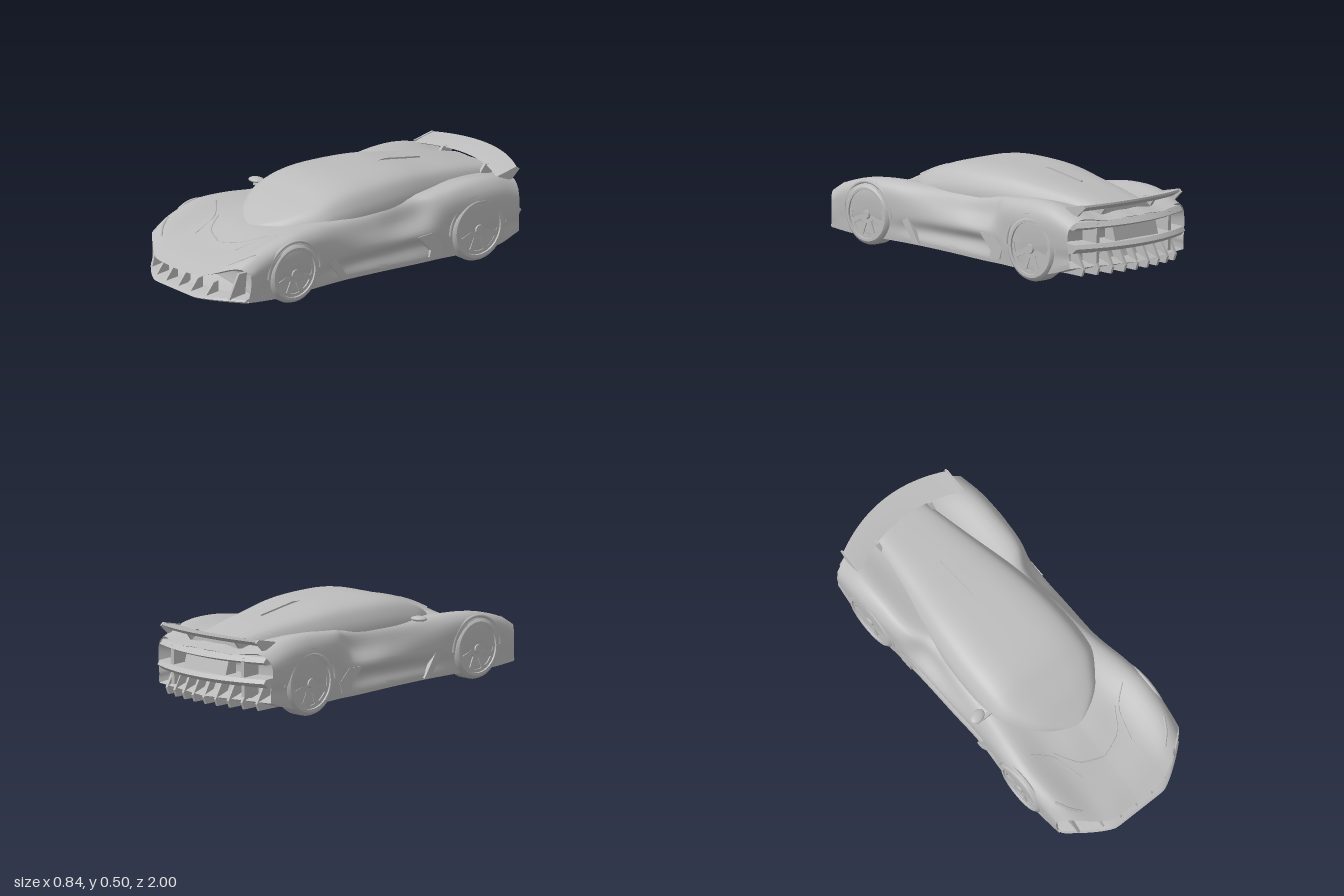
import * as THREE from 'three';
import { toCreasedNormals } from 'three/addons/utils/BufferGeometryUtils.js';

const paint = new THREE.MeshStandardMaterial({ color: 0xbcbcbc });
paint.name = 'grey';

// z, floor y, recess w, crease w, shoulder y, shoulder w, fender x, fender y, valley y, centre y
const BODY = [
  [0.99, 0.09, 0.398, 0.400, 0.240, 0.395, 0.350, 0.265, 0.215, 0.200],
  [0.90, 0.085, 0.400, 0.405, 0.280, 0.400, 0.355, 0.308, 0.248, 0.235],
  [0.75, 0.08, 0.405, 0.412, 0.320, 0.408, 0.360, 0.348, 0.292, 0.275],
  [0.55, 0.08, 0.405, 0.415, 0.340, 0.412, 0.365, 0.378, 0.338, 0.330],
  [0.40, 0.08, 0.400, 0.408, 0.335, 0.400, 0.350, 0.380, 0.356, 0.345],
  [0.22, 0.075, 0.372, 0.392, 0.310, 0.375, 0.330, 0.367, 0.360, 0.360],
  [0.00, 0.07, 0.368, 0.394, 0.290, 0.360, 0.315, 0.362, 0.360, 0.360],
  [-0.28, 0.06, 0.372, 0.396, 0.290, 0.345, 0.305, 0.372, 0.370, 0.370],
  [-0.38, 0.06, 0.398, 0.402, 0.335, 0.390, 0.350, 0.390, 0.375, 0.370],
  [-0.60, 0.055, 0.410, 0.416, 0.350, 0.412, 0.360, 0.411, 0.385, 0.380],
  [-0.80, 0.06, 0.408, 0.417, 0.345, 0.410, 0.350, 0.396, 0.365, 0.370],
  [-0.97, 0.10, 0.398, 0.408, 0.300, 0.400, 0.340, 0.345, 0.330, 0.335],
];
// z, half width, roof y
const CABIN = [
  [0.53, 0.03, 0.330], [0.45, 0.17, 0.370], [0.38, 0.235, 0.405], [0.28, 0.300, 0.445],
  [0.19, 0.315, 0.478], [0.08, 0.320, 0.498], [-0.10, 0.312, 0.502], [-0.30, 0.285, 0.492],
  [-0.50, 0.245, 0.460], [-0.70, 0.205, 0.425], [-0.88, 0.170, 0.385],
];

const sampler = (rows) => {
  const f = new THREE.CubicInterpolant(rows.map((r) => -r[0]), rows.flatMap((r) => r.slice(1)), rows[0].length - 1);
  return (z) => Array.from(f.evaluate(-z));
};
const bodyAt = sampler(BODY), cabinAt = sampler(CABIN);

// Plan curvature of nose and tail
const noseDrop = (x) => 0.17 * Math.pow(Math.max(0, Math.abs(x) - 0.15) / 0.25, 1.3);
const tailDrop = (x) => 0.09 * (x / 0.4) ** 2;
const warp = (x, z) => z > 0.5 ? z - noseDrop(x) * (z - 0.5) * 2
  : z < -0.6 ? z + tailDrop(x) * (-0.6 - z) / 0.37 : z;

function smooth(points, n) {
  return new THREE.CatmullRomCurve3(points.map(([x, y]) => new THREE.Vector3(x, y, 0)), false, 'centripetal').getPoints(n);
}
function bodySection(z) {
  const [b, wr, wc, ys, ws, fx, fy, vy, cy] = bodyAt(z);
  return [new THREE.Vector3(0, b, 0), ...smooth([
    [wc * 0.975, b], [wc * 0.98, b + 0.025], [wr, 0.15], [wc, 0.21], [ws, ys],
    [fx, fy], [fx * 0.57, vy], [0.07, cy + 0.003], [0, cy]], 36)];
}
function cabinSection(z) {
  const [w, top] = cabinAt(z), base = 0.31, h = top - base;
  return [new THREE.Vector3(0, base, 0), ...smooth(
    [[w, base], [w, base + h * 0.3], [w * 0.95, base + h * 0.55], [w * 0.82, base + h * 0.83],
      [w * 0.58, base + h * 0.965], [0, top]], 20)];
}

// Skins mirrored half sections, listed from front to back
function loft(halves) {
  const rings = halves.map((h) => [...h, ...h.slice(1, -1).reverse().map((p) => new THREE.Vector3(-p.x, p.y, p.z))]);
  const n = rings[0].length, pos = [], idx = [];
  rings.forEach((r) => r.forEach((p) => pos.push(p.x, p.y, p.z)));
  for (let i = 0; i < rings.length - 1; i++) for (let j = 0; j < n; j++) {
    const a = i * n + j, b = i * n + (j + 1) % n;
    idx.push(a, a + n, b, b, a + n, b + n);
  }
  [0, rings.length - 1].forEach((i) => {
    const c = rings[i].reduce((s, p) => s.add(p), new THREE.Vector3()).divideScalar(n), k = pos.length / 3;
    pos.push(c.x, c.y, c.z);
    for (let j = 0; j < n; j++) {
      const a = i * n + j, b = i * n + (j + 1) % n;
      idx.push(k, ...(i ? [b, a] : [a, b]));
    }
  });
  const g = new THREE.BufferGeometry();
  g.setAttribute('position', new THREE.Float32BufferAttribute(pos, 3));
  g.setIndex(idx);
  return toCreasedNormals(g, 0.6);
}

// Outline in (z, y), extruded across x and centred on x = 0
function slab(outline, width, steps = 1) {
  const g = new THREE.ExtrudeGeometry(new THREE.Shape(outline.map(([z, y]) => new THREE.Vector2(z, y))),
    { depth: width, steps, bevelEnabled: false });
  return g.rotateY(-Math.PI / 2).translate(width / 2, 0, 0);
}
// A slab whose vertices are moved by a rule
function bentSlab(outline, width, rule) {
  const g = slab(outline, width, 24), p = g.attributes.position, v = new THREE.Vector3();
  for (let i = 0; i < p.count; i++) {
    rule(v.fromBufferAttribute(p, i));
    p.setXYZ(i, v.x, v.y, v.z);
  }
  return toCreasedNormals(g, 0.6);
}
const follow = (v) => { v.z = warp(v.x, v.z); };

// Height of the bodywork, used to lay creases on it
function skinY(x, z) {
  const s = z > 0.5 ? 0.5 + (z - 0.5) / (1 - 2 * noseDrop(x)) : z;
  const pts = bodySection(Math.min(s, 0.99)).reverse(), ax = Math.abs(x);
  const i = Math.max(1, pts.findIndex((p) => p.x >= ax)), a = pts[i - 1], b = pts[i];
  return THREE.MathUtils.mapLinear(ax, a.x, b.x, a.y, b.y);
}

function makeWheel(r) {
  const wheel = new THREE.Group(), R = r * 0.79;
  const profile = [[0, -0.055], [r - 0.025, -0.055], [r - 0.006, -0.047], [r, -0.03], [r, 0.03], [r - 0.006, 0.045],
    [r - 0.02, 0.055], [R, 0.055], [R - 0.005, 0.02], [0, 0.02]].map(([x, y]) => new THREE.Vector2(x, y));
  const tyre = new THREE.Mesh(toCreasedNormals(new THREE.LatheGeometry(profile, 48).rotateZ(-Math.PI / 2), 0.6), paint);
  tyre.name = 'tyre';
  const face = new THREE.Shape().absarc(0, 0, R, 0, Math.PI * 2);
  for (let i = 0; i < 8; i++) {
    const a = i * Math.PI / 4, hole = new THREE.Path();
    hole.absarc(0, 0, R * 0.86, a - 0.27, a + 0.27, false);
    hole.absarc(0, 0, R * 0.38, a + 0.14, a - 0.14, true);
    hole.closePath();
    face.holes.push(hole);
  }
  const rim = new THREE.Mesh(new THREE.ExtrudeGeometry(face, { depth: 0.024, bevelEnabled: false, curveSegments: 24 })
    .rotateY(Math.PI / 2).translate(0.022, 0, 0), paint);
  rim.name = 'spokedRim';
  const hub = new THREE.Mesh(new THREE.CylinderGeometry(R * 0.17, R * 0.2, 0.012, 20).rotateZ(-Math.PI / 2).translate(0.049, 0, 0), paint);
  hub.name = 'hub';
  wheel.add(tyre, rim, hub);
  return wheel;
}

export function createModel() {
  const car = new THREE.Group();
  const add = (name, geometry, x = 0, y = 0, z = 0) => {
    const m = new THREE.Mesh(geometry, paint);
    m.name = name;
    m.position.set(x, y, z);
    car.add(m);
    return m;
  };

  // Body shell with recessed mouth and tail
  const halves = [];
  for (let i = 0; i <= 80; i++) {
    const z = 0.99 - 1.96 * i / 80;
    halves.push(bodySection(z).map((p) => p.setZ(warp(p.x, z))));
  }
  const inset = (half, dz, sy, cy) => half.map((p) => new THREE.Vector3(p.x * 0.9, cy + (p.y - cy) * sy, p.z + dz));
  halves.unshift(inset(halves[0], -0.06, 0.78, 0.15));
  halves.push(inset(halves[80 + 1], 0.07, 0.8, 0.22));
  add('body', loft(halves));

  // Cabin and tapering engine cover
  const cabin = [];
  for (let i = 0; i <= 50; i++) {
    const z = 0.53 - 1.41 * i / 50;
    cabin.push(cabinSection(z).map((p) => p.setZ(z)));
  }
  add('cabin', loft(cabin));
  add('roofFin', slab([[-0.22, 0.49], [-0.34, 0.496], [-0.56, 0.458], [-0.56, 0.44], [-0.22, 0.47]], 0.008));

  // Front splitter and mouth strakes
  add('frontSplitter', bentSlab([[0.88, 0.082], [0.985, 0.086], [1.0, 0.095], [0.985, 0.105], [0.88, 0.115]], 0.76, follow));
  [-0.2, -0.1, 0, 0.1, 0.2].forEach((x) => add('mouthStrake',
    slab([[0.9, 0.09], [0.985, 0.095], [0.97, 0.115], [0.93, 0.165], [0.9, 0.17]], 0.01), x, 0, -noseDrop(x)));

  // Tail ledge, bumper and diffuser
  add('tailLedge', bentSlab([[-0.86, 0.335], [-0.955, 0.33], [-0.985, 0.305], [-0.95, 0.29], [-0.86, 0.3]], 0.74, follow));
  add('rearBumper', bentSlab([[-0.86, 0.225], [-0.98, 0.22], [-1.0, 0.2], [-0.96, 0.175], [-0.86, 0.16]], 0.76, follow));
  add('rearPanel', slab([[-0.88, 0.2], [-0.96, 0.2], [-0.93, 0.3], [-0.88, 0.3]], 0.3));
  for (let i = -4; i <= 4; i++) {
    const x = i * 0.08;
    add('diffuserFin', slab([[-0.74, 0.06], [-0.95, 0.055], [-0.965, 0.09], [-0.92, 0.17], [-0.8, 0.15]], 0.014), x, 0, tailDrop(x));
  }

  // Rear wing
  add('rearWing', bentSlab([[-0.87, 0.398], [-0.93, 0.416], [-0.998, 0.428], [-1.0, 0.418], [-0.955, 0.392], [-0.9, 0.385]], 0.68, (v) => {
    const q = (v.x / 0.34) ** 2;
    v.z += 0.085 * q;
    v.y -= 0.012 * q;
  }));

  for (const s of [1, -1]) {
    // Wheels and arch lips
    for (const [name, z, y, r] of [['frontWheel', 0.555, 0.193, 0.156], ['rearWheel', -0.615, 0.172, 0.168]]) {
      const w = makeWheel(r);
      w.name = name;
      w.position.set(s * 0.366, y, z);
      if (s < 0) w.rotation.y = Math.PI;
      car.add(w);
      add('archLip', new THREE.TorusGeometry(r + 0.008, 0.009, 8, 40, Math.PI).rotateY(Math.PI / 2), s * 0.404, y, z);
    }
    // Flank blades around the door recess
    add('frontFlankBlade', slab([[0.33, 0.3], [0.3, 0.24], [0.2, 0.085], [0.24, 0.085], [0.36, 0.24]], 0.03), s * 0.382);
    add('rearFlankBlade', slab([[-0.24, 0.205], [-0.32, 0.12], [-0.31, 0.085], [-0.38, 0.085], [-0.4, 0.14], [-0.33, 0.21]], 0.03), s * 0.386);
    // Wing supports and wing tips
    add('wingStrut', slab([[-0.8, 0.35], [-0.84, 0.4], [-0.92, 0.4], [-0.88, 0.35]], 0.016), s * 0.17);
    add('wingTip', slab([[-0.79, 0.395], [-0.91, 0.42], [-0.93, 0.405], [-0.88, 0.36], [-0.85, 0.362]], 0.01), s * 0.338);
    // Upright vents at nose and tail corners
    add('noseVent', slab([[0.8, 0.1], [0.9, 0.1], [0.85, 0.235], [0.8, 0.235]], 0.014), s * 0.3).rotation.z = -s * 0.12;
    add('tailVent', slab([[-0.83, 0.1], [-0.93, 0.12], [-0.935, 0.32], [-0.83, 0.32]], 0.02), s * 0.25);
    // Bonnet creases and slim lamps
    const creases = [['bonnetCrease', [0.30, 0.50], [0.21, 0.58], [0.16, 0.74]], ['bonnetLine', [0.2, 0.56], [0.12, 0.67], [0, 0.72]],
      ['headlamp', [0.27, 0.87], [0.32, 0.82], [0.355, 0.76]]];
    for (const [name, ...pts] of creases) {
      const path = new THREE.CatmullRomCurve3(pts.map(([x, z]) => new THREE.Vector3(s * x, skinY(x, z) - 0.001, z)));
      add(name, new THREE.TubeGeometry(path, 16, name === 'headlamp' ? 0.007 : 0.004, 6));
    }
  }

  // Single door mirror on the right
  add('doorMirror', new THREE.SphereGeometry(1, 20, 14).scale(0.044, 0.014, 0.032), -0.376, 0.389, 0.18).rotation.y = 0.3;
  add('mirrorStalk', new THREE.BoxGeometry(0.06, 0.01, 0.02), -0.335, 0.376, 0.2);
  return car;
}
